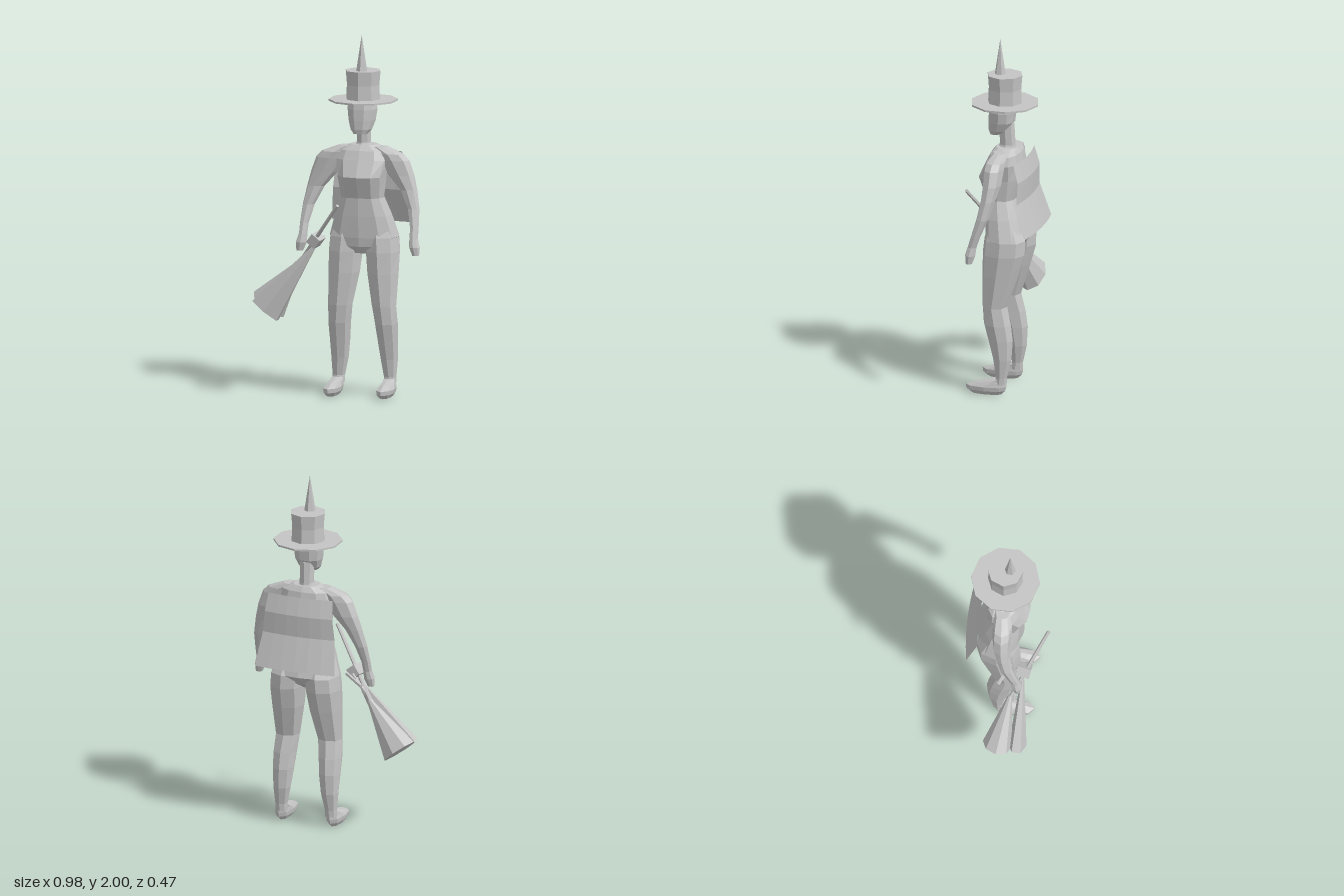
import * as THREE from 'three';

const grey = new THREE.MeshStandardMaterial({ color: 0xc4c4c4, flatShading: true, side: THREE.DoubleSide });
grey.name = 'plain grey';
const CX = 0.137; // axis of the figure

function add(parent, name, geometry) {
  const mesh = new THREE.Mesh(geometry, grey);
  mesh.name = name;
  parent.add(mesh);
  return mesh;
}

// Skin through level rings, bottom to top: [y, centre x, half width, front z, back z]
function loft(rings, sides, mirror = 1, power = 0.9) {
  const pos = [], index = [];
  const soft = v => Math.sign(v) * Math.pow(Math.abs(v), power);
  for (const [y, x, w, front, back] of rings) {
    for (let j = 0; j < sides; j++) {
      const a = (j / sides) * Math.PI * 2;
      pos.push(CX + mirror * x + w * soft(Math.cos(a)), y,
        (front + back) / 2 + ((front - back) / 2) * soft(Math.sin(a)));
    }
  }
  const last = (rings.length - 1) * sides;
  for (let i = 0; i < rings.length - 1; i++) {
    for (let j = 0; j < sides; j++) {
      const a = i * sides + j, b = i * sides + ((j + 1) % sides);
      index.push(a, a + sides, b, b, a + sides, b + sides);
    }
  }
  for (let j = 1; j < sides - 1; j++) {
    index.push(0, j, j + 1, last, last + j + 1, last + j);
  }
  const g = new THREE.BufferGeometry();
  g.setAttribute('position', new THREE.Float32BufferAttribute(pos, 3));
  g.setIndex(index);
  const flat = g.toNonIndexed();
  flat.computeVertexNormals();
  return flat;
}

// Straight tapered bar from a lower to an upper point, with an oval section
function bar(from, to, rBottom, rTop, sides, depth = 1) {
  const a = new THREE.Vector3(...from), b = new THREE.Vector3(...to);
  const y = b.clone().sub(a), length = y.length();
  y.normalize();
  const x = y.clone().cross(new THREE.Vector3(0, 0, 1)).normalize();
  const z = x.clone().cross(y);
  const g = new THREE.CylinderGeometry(rTop, rBottom, length, sides);
  g.scale(1, 1, depth);
  g.applyMatrix4(new THREE.Matrix4().makeBasis(x, y, z).setPosition(a.add(b).multiplyScalar(0.5)));
  return g;
}

function addBody(model) {
  add(model, 'torso', loft([
    [0.79, 0, 0.05, 0.03, -0.06],
    [0.83, 0, 0.14, 0.06, -0.13],
    [0.88, 0, 0.198, 0.066, -0.172],
    [1.00, 0, 0.162, 0.07, -0.135],
    [1.10, 0, 0.122, 0.07, -0.10],
    [1.22, 0, 0.135, 0.115, -0.13],
    [1.31, 0, 0.155, 0.07, -0.128],
    [1.36, 0, 0.14, 0.045, -0.118],
    [1.39, 0, 0.075, 0.02, -0.10],
  ], 12, 1, 0.8));
  add(model, 'neck', loft([
    [1.36, 0, 0.055, 0.02, -0.09],
    [1.40, 0, 0.04, 0.005, -0.085],
    [1.52, 0, 0.04, 0.01, -0.078],
  ], 8));
  add(model, 'head', loft([
    [1.455, 0, 0.04, 0.06, -0.005],
    [1.48, 0, 0.062, 0.066, -0.045],
    [1.53, 0, 0.078, 0.066, -0.078],
    [1.59, 0, 0.086, 0.062, -0.085],
    [1.635, 0, 0.08, 0.055, -0.085],
  ], 10));

  for (const [side, m] of [['left', 1], ['right', -1]]) {
    add(model, side + 'Leg', loft([
      [0.06, 0.147, 0.036, -0.01, -0.08],
      [0.10, 0.147, 0.036, -0.018, -0.082],
      [0.20, 0.141, 0.05, 0.0, -0.105],
      [0.31, 0.137, 0.059, 0.03, -0.112],
      [0.40, 0.134, 0.065, 0.055, -0.10],
      [0.50, 0.125, 0.07, 0.065, -0.076],
      [0.68, 0.111, 0.09, 0.07, -0.135],
      [0.80, 0.106, 0.097, 0.07, -0.17],
      [0.88, 0.10, 0.096, 0.062, -0.172],
      [0.96, 0.09, 0.075, 0.04, -0.13],
    ], 8, m));
    add(model, side + 'Foot', loft([
      [0.0, 0.152, 0.027, 0.12, -0.05],
      [0.022, 0.152, 0.042, 0.15, -0.072],
      [0.045, 0.152, 0.045, 0.153, -0.08],
      [0.068, 0.15, 0.037, 0.09, -0.08],
      [0.09, 0.147, 0.03, 0.0, -0.076],
    ], 8, m));
    add(model, side + 'Arm', loft([
      [0.89, 0.317, 0.024, 0.09, 0.04],
      [0.95, 0.315, 0.025, 0.072, 0.02],
      [1.05, 0.30, 0.034, 0.045, -0.022],
      [1.15, 0.265, 0.05, 0.03, -0.05],
      [1.23, 0.22, 0.076, 0.03, -0.07],
      [1.31, 0.18, 0.087, 0.032, -0.075],
      [1.345, 0.155, 0.078, 0.03, -0.075],
      [1.38, 0.09, 0.05, 0.01, -0.07],
    ], 8, m));
    add(model, side + 'Hand', loft([
      [0.80, 0.332, 0.02, 0.097, 0.06],
      [0.845, 0.324, 0.031, 0.103, 0.045],
      [0.89, 0.317, 0.025, 0.09, 0.04],
    ], 8, m));
  }
}

function addHat(model) {
  const hat = new THREE.Group();
  hat.name = 'hat';
  hat.position.set(CX, 0, -0.024);
  add(hat, 'brim', new THREE.CylinderGeometry(0.19, 0.19, 0.01, 10)).position.y = 1.636;
  add(hat, 'lowerCrown', new THREE.CylinderGeometry(0.093, 0.097, 0.085, 8)).position.y = 1.68;
  add(hat, 'upperCrown', new THREE.CylinderGeometry(0.1, 0.093, 0.08, 8)).position.y = 1.76;
  add(hat, 'spike', new THREE.ConeGeometry(0.031, 0.2, 6)).position.set(0, 1.9, 0.027);
  model.add(hat);
}

// Rippled sheet bowed across the back: [y, half width, z at the middle]
function addCape(model) {
  const rows = [[1.34, 0.19, -0.152], [1.24, 0.2, -0.18], [1.12, 0.213, -0.176], [0.935, 0.237, -0.235]];
  const g = new THREE.PlaneGeometry(2, 1, 6, rows.length - 1);
  const p = g.attributes.position;
  for (let i = 0; i < p.count; i++) {
    const [y, w, z] = rows[Math.floor(i / 7)];
    const u = p.getX(i);
    p.setXYZ(i, CX - u * w, y, z + 0.02 * u * u);
  }
  g.computeVertexNormals();
  add(model, 'cape', g);
}

function addBroom(model) {
  const broom = new THREE.Group();
  broom.name = 'broom';
  add(broom, 'handle', bar([-0.21, 0.72, 0.04], [0.065, 1.08, 0.222], 0.012, 0.01, 6));
  const block = add(broom, 'gripBlock', new THREE.BoxGeometry(0.06, 0.06, 0.075));
  block.position.set(-0.095, 0.865, 0.105);
  block.rotation.set(0.1, -0.15, -0.65);
  // Two flared bundles of bristles
  add(broom, 'rearBristles', bar([-0.4, 0.475, -0.01], [-0.2, 0.73, 0.04], 0.108, 0.015, 8, 0.75));
  add(broom, 'frontBristles', bar([-0.385, 0.46, 0.1], [-0.11, 0.82, 0.1], 0.1, 0.012, 6, 0.5));
  // Small binding sticks beside the hand
  add(broom, 'crossStick', bar([-0.18, 0.83, -0.03], [-0.07, 0.87, 0.03], 0.01, 0.01, 5));
  add(broom, 'bindingStick', bar([-0.22, 0.7, 0.06], [-0.09, 0.86, 0.06], 0.01, 0.01, 5));
  model.add(broom);
}

export function createModel() {
  const model = new THREE.Group();
  model.name = 'figureWithBroom';
  addBody(model);
  addHat(model);
  addCape(model);
  addBroom(model);
  return model;
}
